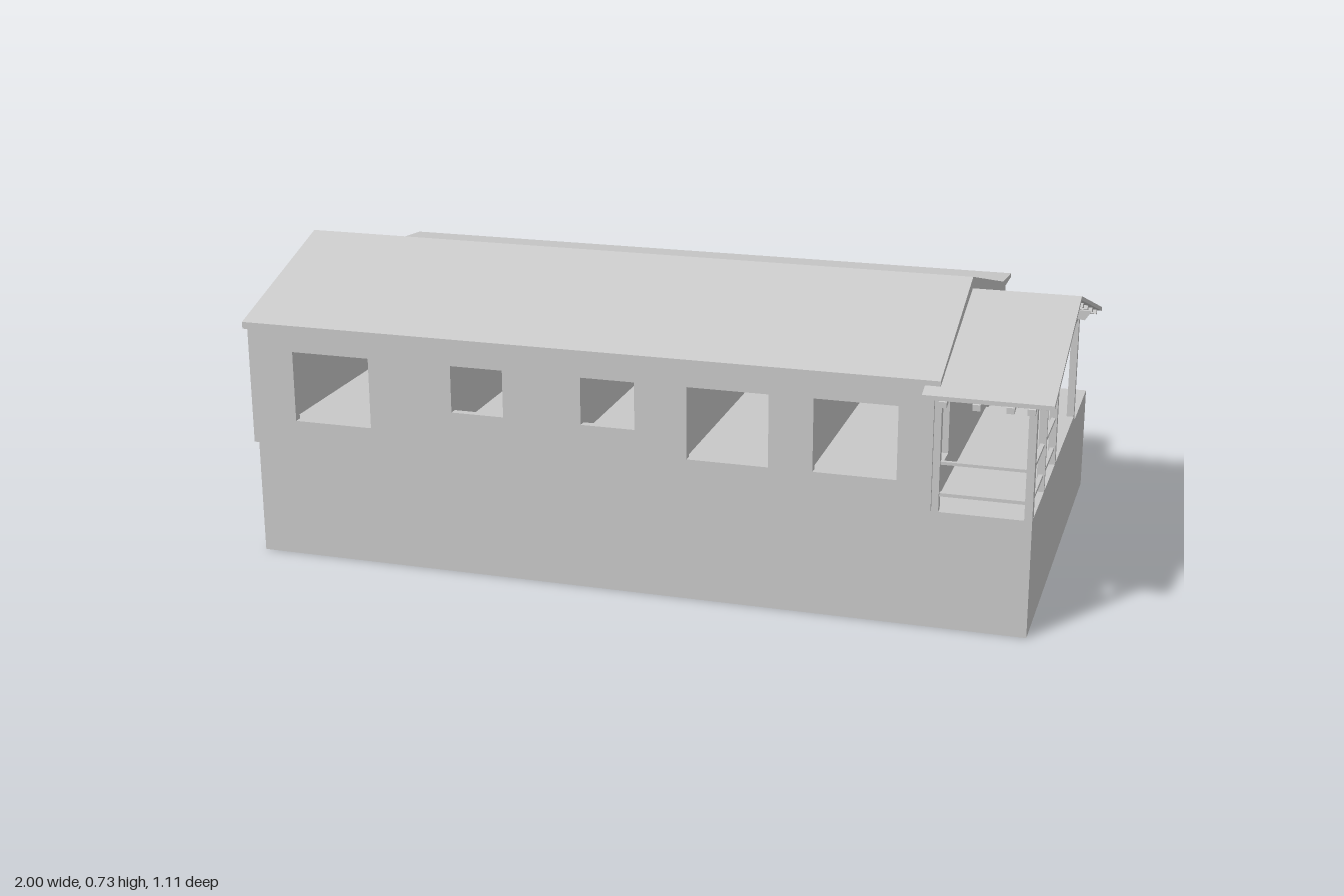
import * as THREE from 'three';

export function createModel() {
  const house = new THREE.Group();
  house.name = 'house';
  const grey = new THREE.MeshStandardMaterial({ color: 0xc8c8c8 });
  grey.name = 'plain grey';

  const add = (name, geometry) => {
    const mesh = new THREE.Mesh(geometry, grey);
    mesh.name = name;
    house.add(mesh);
    return mesh;
  };

  // Box given by its lower and upper limits on each axis
  const box = (name, x0, x1, y0, y1, z0, z1) => {
    const mesh = add(name, new THREE.BoxGeometry(x1 - x0, y1 - y0, z1 - z0));
    mesh.position.set((x0 + x1) / 2, (y0 + y1) / 2, (z0 + z1) / 2);
    return mesh;
  };

  const shapeOf = (points) => new THREE.Shape(points.map(([u, v]) => new THREE.Vector2(u, v)));

  // Profile drawn in (z, y) and extruded from x0 to x1
  const alongX = (name, shape, x0, x1) => {
    const geometry = new THREE.ExtrudeGeometry(shape, { depth: x1 - x0, bevelEnabled: false });
    geometry.rotateY(-Math.PI / 2);
    geometry.translate(x1, 0, 0);
    return add(name, geometry);
  };

  // Rectangular wall face with openings [u0, u1, v0, v1]
  const wallShape = (u0, u1, v0, v1, openings) => {
    const shape = shapeOf([[u0, v0], [u1, v0], [u1, v1], [u0, v1]]);
    for (const [a, b, c, d] of openings) {
      shape.holes.push(new THREE.Path([[a, c], [a, d], [b, d], [b, c]].map(([u, v]) => new THREE.Vector2(u, v))));
    }
    return shape;
  };
  const alongZ = (name, shape, z0, z1) => {
    const geometry = new THREE.ExtrudeGeometry(shape, { depth: z1 - z0, bevelEnabled: false });
    geometry.translate(0, 0, z0);
    return add(name, geometry);
  };

  // Foundation and floors
  box('foundation', -0.976, 0.934, 0, 0.267, -0.555, 0.51);
  box('houseFloor', -0.976, 0.704, 0.267, 0.293, -0.553, 0.51);
  box('porchDeck', 0.704, 0.934, 0.267, 0.283, -0.287, 0.51);

  // Outer walls with window and door openings
  const low = 0.285, high = 0.576, t = 0.02;
  alongZ('frontWall', wallShape(-0.985, 0.705, low, high, [
    [-0.87, -0.67, 0.35, 0.526], [-0.457, -0.325, 0.41, 0.526], [-0.13, 0.003, 0.41, 0.526],
    [0.13, 0.325, 0.35, 0.526], [0.43, 0.625, 0.35, 0.526],
  ]), 0.512 - t, 0.512);
  box('backWall', -0.985, 0.705, low, high, -0.554, -0.554 + t);
  alongX('leftOrRightEndWall', wallShape(-0.553, 0.511, 0.268, high, [
    [0.296, 0.403, 0.35, 0.526], [-0.193, -0.083, 0.41, 0.526], [-0.48, -0.353, 0.39, 0.52],
  ]), 0.705 - t, 0.705).name = 'porchEndWall';
  alongX('farEndWall', wallShape(-0.553, 0.511, low, high, [
    [-0.395, -0.29, 0.294, 0.49], [-0.185, -0.108, 0.41, 0.526],
  ]), -0.988, -0.988 + t);

  // Corridor wall with doorways, and room partitions
  alongZ('corridorWall', wallShape(-0.967, 0.684, low, high, [
    [-0.735, -0.63, 0.294, 0.49], [-0.36, -0.255, 0.294, 0.49], [-0.215, -0.11, 0.294, 0.49],
    [0.195, 0.3, 0.294, 0.49], [0.555, 0.66, 0.39, 0.49],
  ]), -0.27, -0.25);
  for (const x of [-0.55, -0.23, 0.07, 0.38]) {
    box('partition', x - 0.008, x + 0.008, low, high, -0.25, 0.492);
  }

  // Main roof: a closed prism with a shallower strip at the back
  alongX('mainRoof', shapeOf([
    [0.513, 0.575], [0.513, 0.592], [0.105, 0.73], [-0.41, 0.59], [-0.555, 0.577], [-0.555, 0.567],
  ]), -1, 0.718);

  // Porch roof layers share one gabled profile, lowered by an offset
  const gable = (name, drop, thick, x0, x1, inset = 0) => {
    const line = [[0.55 - inset, 0.569 + inset * 0.3], [0.105, 0.702], [-0.425 + inset, 0.537 + inset * 0.3]];
    const top = line.map(([z, y]) => [z, y - drop]);
    const bottom = line.map(([z, y]) => [z, y - drop - thick]).reverse();
    return alongX(name, shapeOf([...top, ...bottom]), x0, x1);
  };
  gable('porchRoof', 0, 0.01, 0.683, 0.975);
  for (const x of [0.725, 0.8, 0.875, 0.921]) gable('rafter', 0.02, 0.014, x - 0.006, x + 0.012, 0.012);

  // Battens between rafters and roof sheet
  for (let i = 0; i < 5; i++) {
    for (const [zEnd, yEnd] of [[0.55, 0.569], [-0.425, 0.537]]) {
      const k = 0.06 + i * 0.22;
      const z = 0.105 + (zEnd - 0.105) * k;
      const y = 0.702 + (yEnd - 0.702) * k;
      const batten = box('batten', 0.71, 0.965, y - 0.021, y - 0.009, z - 0.011, z + 0.011);
      batten.rotation.x = Math.atan2(0.702 - yEnd, zEnd - 0.105 > 0 ? zEnd - 0.105 : zEnd - 0.105);
      if (zEnd < 0) batten.rotation.x = -Math.atan2(0.702 - yEnd, 0.105 - zEnd);
    }
  }
  box('ridgeBeam', 0.71, 0.935, 0.648, 0.668, 0.1, 0.11);
  alongZ('ridgeTip', shapeOf([[0.935, 0.65], [0.985, 0.645], [1, 0.668], [0.935, 0.668]]), 0.102, 0.108);

  // Porch posts and tie beams
  const posts = [[0.486, 0.51], [0.302, 0.314], [0.098, 0.116], [-0.287, -0.267]];
  for (const [z0, z1] of posts) box('porchPost', 0.916, 0.934, 0.28, 0.555, z0, z1);
  box('wallPost', 0.706, 0.722, 0.28, 0.555, 0.49, 0.51);
  box('tieBeam', 0.916, 0.934, 0.548, 0.562, -0.287, 0.51);
  for (const z of [0.498, -0.277]) box('sideBeam', 0.706, 0.934, 0.548, 0.562, z - 0.01, z + 0.01);

  // Gable truss: king post and two slanted braces
  box('kingPost', 0.916, 0.934, 0.56, 0.672, 0.1, 0.113);
  for (const side of [-1, 1]) {
    const at = (dz, y) => [0.1065 + side * dz, y];
    const corners = [at(0.01, 0.56), at(0.021, 0.56), at(0.062, 0.655), at(0.046, 0.66)];
    alongX('trussBrace', shapeOf(corners), 0.918, 0.932);
  }

  // Railings on the end and the front of the porch
  for (const [y0, y1] of [[0.394, 0.401], [0.318, 0.326]]) {
    box('endRail', 0.92, 0.93, y0, y1, 0.11, 0.49);
    box('frontRail', 0.715, 0.92, y0, y1, 0.493, 0.503);
  }
  return house;
}
